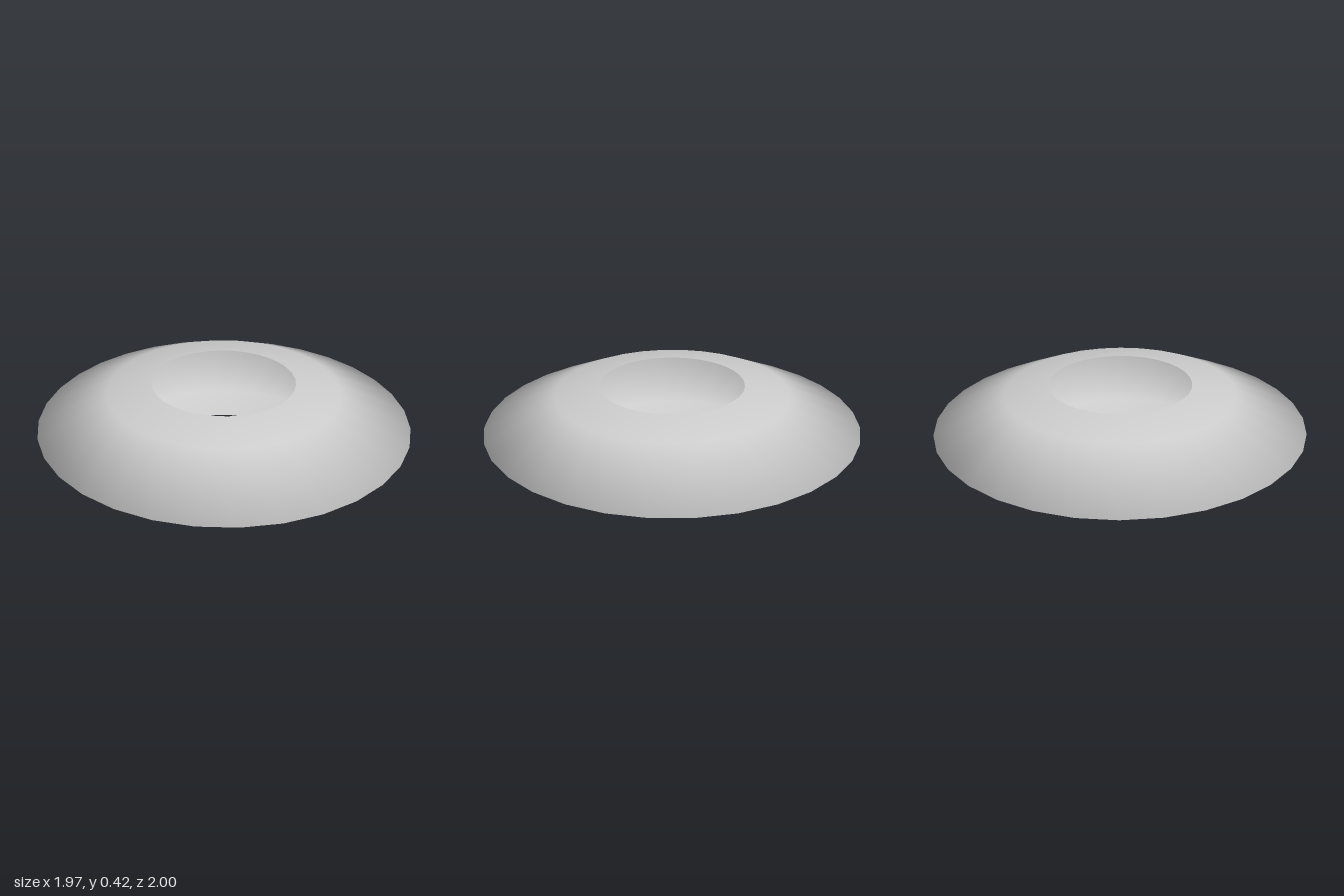
import * as THREE from 'three';

export function createModel() {
  const group = new THREE.Group();
  group.name = 'flyingRing';

  // Thin hollow shell, open at the middle: lower lip, outer rim, upper lip
  const profile = [
    [0.385, 0], [0.62, 0.045], [1, 0.21], [0.62, 0.38], [0.385, 0.42],
  ].map(([r, y]) => new THREE.Vector2(r, y));

  const geometry = new THREE.LatheGeometry(profile, 32);
  geometry.scale(0.985, 1, 1); // very slightly narrower across x

  const shell = new THREE.Mesh(
    geometry,
    new THREE.MeshStandardMaterial({ color: 0xcccccc, side: THREE.DoubleSide }),
  );
  shell.name = 'ringShell';
  group.add(shell);
  return group;
}
